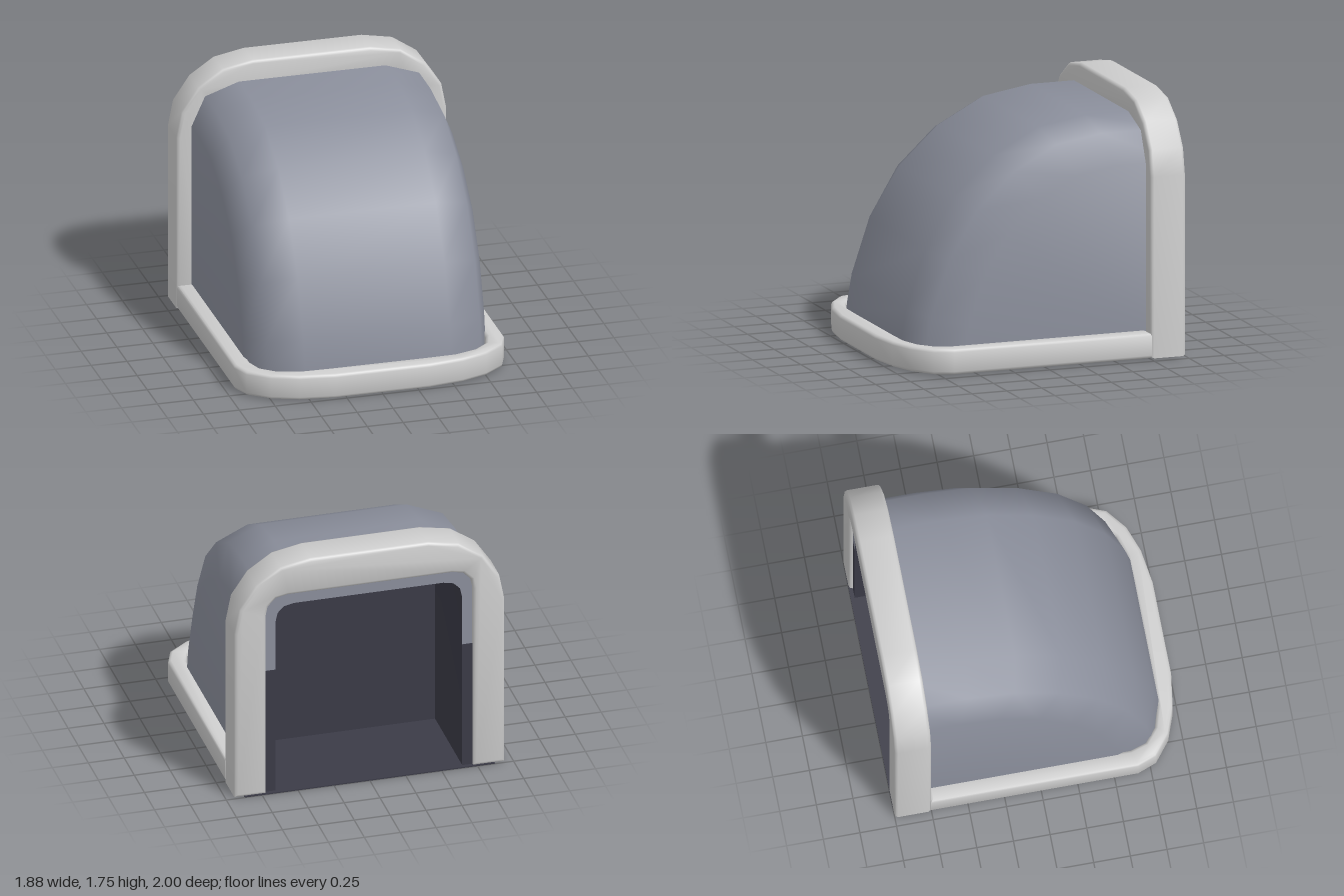
import * as THREE from 'three';
import { mergeVertices, toCreasedNormals } from 'three/addons/utils/BufferGeometryUtils.js';

const flat = (name, color, side = THREE.FrontSide) => {
  const m = new THREE.MeshStandardMaterial({ color, side });
  m.name = name;
  return m;
};

// Right half of a symmetric outline -> whole outline, right to left
const mirror = (half) => [...half, ...half.slice().reverse().map(([x, y]) => [-x, y])];
const vec2 = (pts) => pts.map(([x, y]) => new THREE.Vector2(x, y));

// Closed U-shaped band between an outer and an inner half outline
const band = (outer, inner) => new THREE.Shape(vec2([...mirror(outer), ...mirror(inner).reverse()]));

// Skin over rows of points
function skin(rows, crease) {
  const n = rows[0].length, index = [];
  for (let i = 0; i < rows.length - 1; i++) {
    for (let j = 0; j < n - 1; j++) {
      const a = i * n + j, b = a + 1, c = a + n, d = c + 1;
      index.push(a, c, b, b, c, d);
    }
  }
  const g = new THREE.BufferGeometry();
  g.setAttribute('position', new THREE.Float32BufferAttribute(rows.flat(2), 3));
  g.setIndex(index);
  return toCreasedNormals(g, crease);
}

// Bevelled band that keeps to its outline, with softened edges
function trimBand(shape, thickness) {
  const bevel = 0.022;
  const g = new THREE.ExtrudeGeometry(shape, {
    depth: thickness - 2 * bevel, bevelThickness: bevel, bevelSize: bevel,
    bevelOffset: -bevel, bevelSegments: 2,
  });
  g.translate(0, 0, bevel);
  g.deleteAttribute('uv');
  g.deleteAttribute('normal');
  return toCreasedNormals(mergeVertices(g, 1e-4), 0.9);
}

export function createModel() {
  const group = new THREE.Group();
  const hoodGrey = flat('hood grey', 0x8b8f9c, THREE.DoubleSide);
  const trimGrey = flat('trim light grey', 0xcdcdcd);
  const dark = flat('interior dark', 0x3b3b47, THREE.DoubleSide);
  const add = (name, geometry, material) => {
    const mesh = new THREE.Mesh(geometry, material);
    mesh.name = name;
    group.add(mesh);
    return mesh;
  };

  // Hood: side profile [z, y] swept across x, shrinking towards the rear bottom corner
  const rear = -0.975;
  const profile = [[0.9, 0.01], [0.88, 0.18], [0.845, 0.38], [0.71, 0.78], [0.5, 1.13],
    [0.22, 1.39], [-0.1, 1.56], [-0.44, 1.615], [rear, 1.615]];
  const steps = mirror([[0.84, 0], [0.84, 0.82], [0.745, 0.95], [0.51, 1]]);
  const hoodRows = profile.map(([z, y]) =>
    steps.map(([x, k]) => [x, y * k, rear + (z - rear) * k]));
  add('hood', skin(hoodRows, 0.9), hoodGrey);

  // Arch around the rear opening
  const archOuter = [[0.94, 0.005], [0.94, 1.25], [0.905, 1.43], [0.79, 1.6], [0.62, 1.715], [0.41, 1.755]];
  const archInner = [[0.72, 0.005], [0.72, 1.36], [0.705, 1.43], [0.65, 1.485], [0.57, 1.5]];
  const arch = add('rearArch', trimBand(band(archOuter, archInner), 0.25), trimGrey);
  arch.position.z = -1;

  // Base rim, outlines in [x, z]
  const rimOuter = [[0.94, -0.755], [0.94, 0.66], [0.89, 0.79], [0.75, 0.9], [0.57, 0.965], [0.33, 1]];
  const rimInner = [[0.82, -0.755], [0.82, 0.63], [0.785, 0.74], [0.69, 0.82], [0.54, 0.865], [0.33, 0.87]];
  const rimGeometry = trimBand(band(rimOuter, rimInner), 0.175);
  rimGeometry.rotateX(Math.PI / 2);
  const rim = add('baseRim', rimGeometry, trimGrey);
  rim.position.y = 0.18;

  // Lip inside the arch: grey above, dark below
  const opening = [[0.65, 0.005], [0.65, 1.29], [0.635, 1.36], [0.59, 1.405], [0.52, 1.42]];
  const lipOuter = [[0.76, 0.93], [0.76, 1.54]];
  const lipInner = [[0.65, 0.93], ...opening.slice(1)];
  add('openingLip', new THREE.ShapeGeometry(band(lipOuter, lipInner)), hoodGrey).position.z = -0.97;
  for (const s of [-1, 1]) {
    add('lowerLip', new THREE.BoxGeometry(0.11, 0.925, 0.006), dark).position.set(s * 0.705, 0.4675, -0.97);
  }

  // Cavity: walls and ceiling, closed by a front wall
  const outline = mirror(opening);
  const cavityRows = [
    outline.map(([x, y]) => [x, y, -0.97]),
    outline.map(([x, y]) => [x, y, -0.3]),
    outline.map(() => [0, 0.005, -0.3]),
  ];
  add('cavity', skin(cavityRows, 0.6), dark);

  // Floor plate
  add('floor', new THREE.BoxGeometry(1.74, 0.008, 1.61), dark).position.set(0, 0.004, -0.195);

  return group;
}
